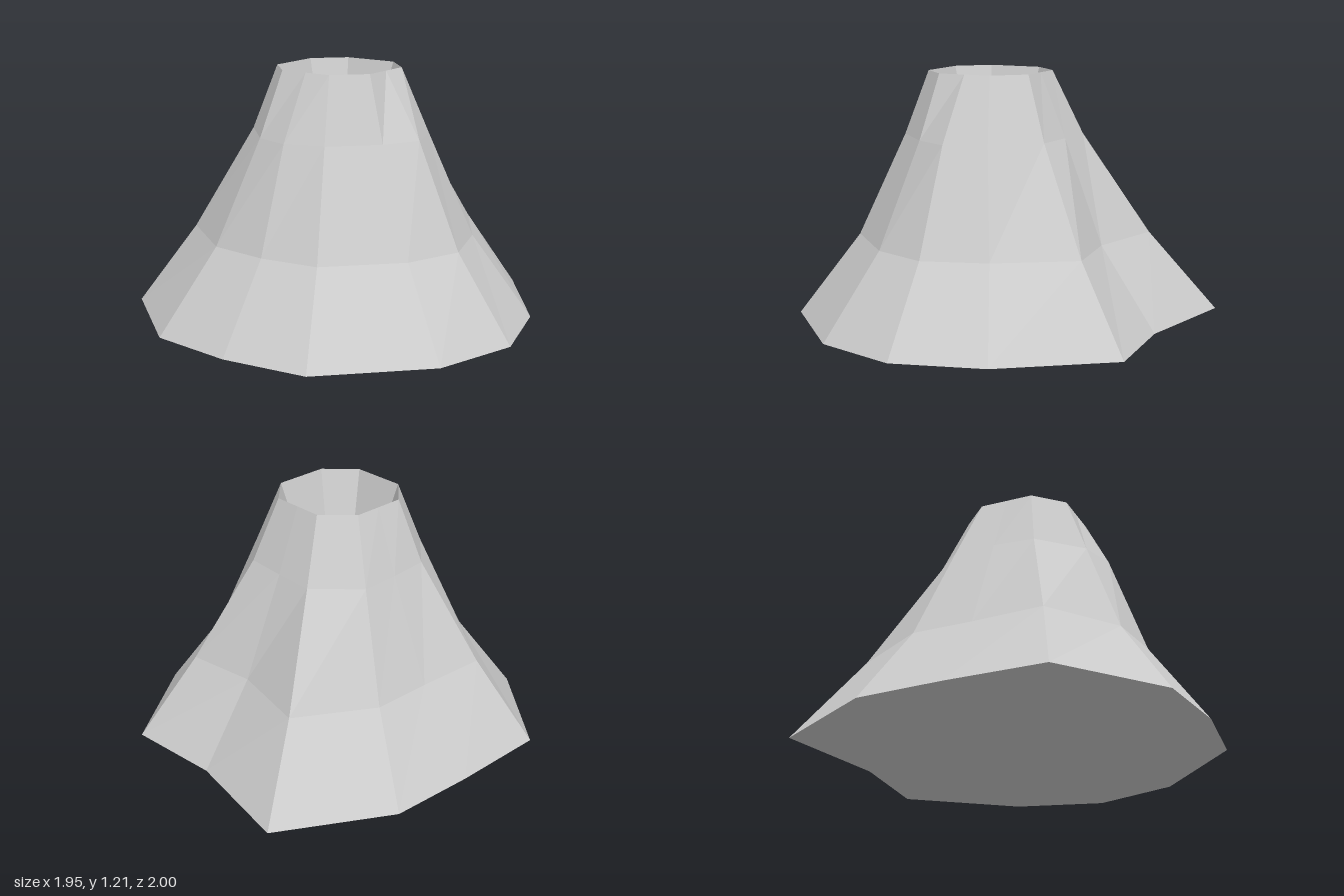
import * as THREE from 'three';

// Cross-sections, each 12 [x, z] corners running from the back round the left side
const base = [[0.285, -1], [0.615, -0.515], [0.975, -0.205], [0.885, 0.395], [0.665, 0.79], [0.285, 1],
  [-0.31, 1], [-0.645, 0.73], [-0.91, 0.395], [-0.975, -0.205], [-0.63, -0.55], [-0.31, -0.84]];
const lower = [[0.2, -0.665], [0.42, -0.32], [0.695, -0.11], [0.61, 0.3], [0.465, 0.587], [0.2, 0.71],
  [-0.215, 0.71], [-0.445, 0.53], [-0.63, 0.3], [-0.695, -0.11], [-0.43, -0.35], [-0.215, -0.56]];
const upper = [[0.127, -0.335], [0.265, -0.19], [0.4, -0.035], [0.4, 0.24], [0.31, 0.43], [0.125, 0.49],
  [-0.145, 0.49], [-0.32, 0.4], [-0.41, 0.24], [-0.41, -0.035], [-0.28, -0.19], [-0.145, -0.335]];

// Octagon with extra corners halfway along its diagonal sides
function octagon(outer, inner, cx = -0.01, cz = 0.095) {
  const m = (outer + inner) / 2;
  return [[inner, -outer], [m, -m], [outer, -inner], [outer, inner], [m, m], [inner, outer],
    [-inner, outer], [-m, m], [-outer, inner], [-outer, -inner], [-m, -m], [-inner, -outer]]
    .map(([x, z]) => [x + cx, z + cz]);
}

const at = (ring, y) => ring.map(([x, z]) => [x, y, z]);

function facets(triangles) {
  const geometry = new THREE.BufferGeometry();
  geometry.setAttribute('position', new THREE.Float32BufferAttribute(triangles.flat(2), 3));
  geometry.computeVertexNormals();
  return geometry;
}

// Walls joining successive rings
function walls(rings) {
  const triangles = [];
  for (let r = 0; r < rings.length - 1; r++) {
    const a = rings[r], b = rings[r + 1];
    for (let i = 0; i < a.length; i++) {
      const j = (i + 1) % a.length;
      triangles.push([a[i], b[i], a[j]], [a[j], b[i], b[j]]);
    }
  }
  return facets(triangles);
}

// Flat fan closing a ring
function cap(ring, centre, faceUp) {
  return facets(ring.map((p, i) => {
    const q = ring[(i + 1) % ring.length];
    return faceUp ? [centre, q, p] : [centre, p, q];
  }));
}

export function createModel() {
  const group = new THREE.Group();
  group.name = 'volcano';
  const rock = new THREE.MeshStandardMaterial({ color: 0xcccccc });
  rock.name = 'grey rock';
  rock.flatShading = true;

  const ground = at(base, 0);
  const rim = at(octagon(0.285, 0.095), 1.21);
  const floor = at(octagon(0.19, 0.067), 0.9);

  const add = (name, geometry) => {
    const mesh = new THREE.Mesh(geometry, rock);
    mesh.name = name;
    group.add(mesh);
  };
  add('slopes', walls([ground, at(lower, 0.4), at(upper, 0.9), rim]));
  add('craterWall', walls([rim, floor]));
  add('craterFloor', cap(floor, [-0.01, 0.9, 0.095], true));
  add('underside', cap(ground, [0, 0, 0], false));
  return group;
}
